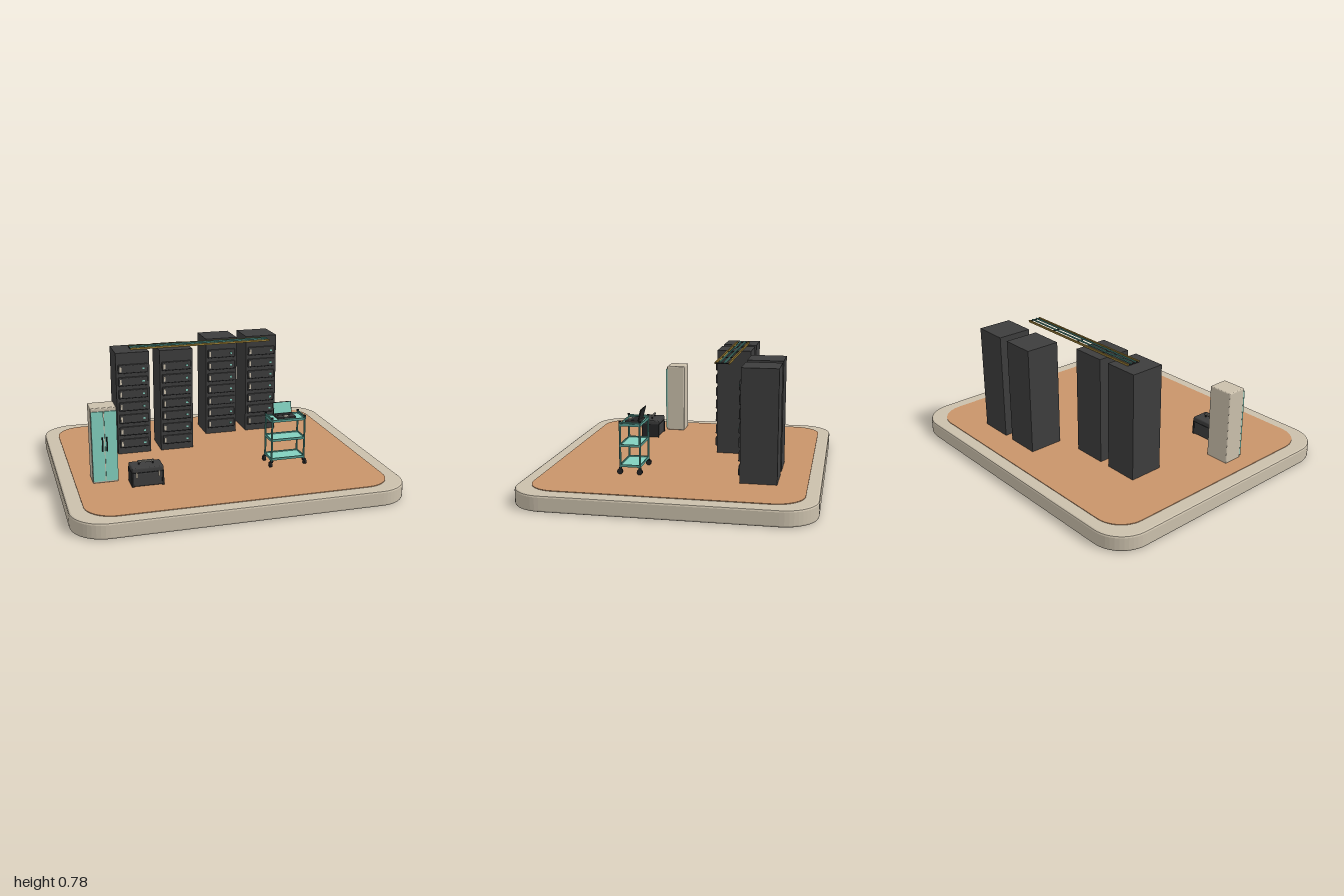
import * as THREE from 'three';
import { RoundedBoxGeometry } from 'three/addons/geometries/RoundedBoxGeometry.js';

const paint = (name, color) => {
  const m = new THREE.MeshStandardMaterial({ color, flatShading: true });
  m.name = name;
  return m;
};

export function createModel() {
  const mat = {
    beige: paint('warm beige', 0xcbc0ac),
    floor: paint('terracotta floor', 0xc8946a),
    dark: paint('charcoal', 0x3d3d3d),
    black: paint('near black', 0x242526),
    teal: paint('mint teal', 0x82d0bf),
    frame: paint('deep teal', 0x579f93),
    brass: paint('brass', 0x9a7d35),
    grey: paint('handle grey', 0x77756f),
  };
  const model = new THREE.Group();
  model.name = 'serverRoom';

  const group = (name, x = 0, y = 0, z = 0) => {
    const g = new THREE.Group();
    g.name = name;
    g.position.set(x, y, z);
    model.add(g);
    return g;
  };
  const add = (parent, name, geo, m, x, y, z) => {
    const mesh = new THREE.Mesh(geo, m);
    mesh.name = name;
    mesh.position.set(x, y, z);
    parent.add(mesh);
    return mesh;
  };
  const box = (p, name, m, w, h, d, x, y, z) =>
    add(p, name, new THREE.BoxGeometry(w, h, d), m, x, y, z);
  const soft = (p, name, m, w, h, d, x, y, z, r) =>
    add(p, name, new RoundedBoxGeometry(w, h, d, 2, r), m, x, y, z);

  // Horizontal slab with rounded corners, y0 to y1
  const slab = (name, m, w, d, r, y0, y1, bevel) => {
    const s = new THREE.Shape();
    const a = w / 2 - bevel, b = d / 2 - bevel, q = r - bevel;
    s.absarc(a - q, b - q, q, 0, Math.PI / 2);
    s.absarc(-a + q, b - q, q, Math.PI / 2, Math.PI);
    s.absarc(-a + q, -b + q, q, Math.PI, Math.PI * 1.5);
    s.absarc(a - q, -b + q, q, Math.PI * 1.5, Math.PI * 2);
    const geo = new THREE.ExtrudeGeometry(s, {
      depth: y1 - y0 - 2 * bevel, curveSegments: 6, bevelEnabled: bevel > 0,
      bevelSize: bevel, bevelThickness: bevel, bevelSegments: 2,
    });
    geo.rotateX(-Math.PI / 2);
    add(model, name, geo, m, 0, y0 + bevel, 0);
  };

  // Base and floor
  slab('base', mat.beige, 2, 1.72, 0.2, 0, 0.097, 0.012);
  slab('floor', mat.floor, 1.824, 1.564, 0.17, 0.09, 0.101, 0);

  // Server racks with seven units each
  for (const [x, z] of [[-0.47, -0.266], [-0.187, -0.266], [0.183, -0.502], [0.467, -0.502]]) {
    const rack = group('serverRack', x, 0.1, z);
    box(rack, 'rackCabinet', mat.dark, 0.215, 0.67, 0.215, 0, 0.335, 0);
    for (let i = 0; i < 7; i++) {
      const y = 0.071 + i * 0.0825;
      soft(rack, 'serverUnit', mat.dark, 0.19, 0.058, 0.016, 0, y, 0.11, 0.005);
      box(rack, 'ventSlot', mat.black, 0.182, 0.004, 0.002, 0, y - 0.024, 0.1182);
      box(rack, 'unitHandle', mat.beige, 0.011, 0.032, 0.005, -0.08, y, 0.119);
      box(rack, 'statusLight', mat.teal, 0.014, 0.011, 0.004, 0.067, y, 0.1185);
    }
  }

  // Overhead cable tray
  const tray = group('cableTray', 0, 0.775, -0.273);
  for (const s of [-1, 1]) {
    box(tray, 'trayRail', mat.brass, 0.935, 0.012, 0.009, 0, 0, s * 0.039);
    box(tray, 'cable', mat.frame, 0.93, 0.007, 0.008, 0, 0.005, s * 0.015);
  }
  for (let i = -2; i <= 2; i++)
    box(tray, 'trayRung', mat.black, 0.008, 0.006, 0.078, i * 0.232, -0.001, 0);

  // Storage cabinet
  const cabinet = group('storageCabinet', -0.733, 0.1, 0.234);
  soft(cabinet, 'cabinetBody', mat.beige, 0.154, 0.465, 0.126, 0, 0.2325, 0, 0.008);
  for (const s of [-1, 1]) {
    box(cabinet, 'cabinetDoor', mat.teal, 0.072, 0.43, 0.009, s * 0.0385, 0.229, 0.066);
    box(cabinet, 'doorHandle', mat.black, 0.007, 0.085, 0.012, s * 0.013, 0.245, 0.076);
  }

  // Tool case
  const tool = group('toolCase', -0.503, 0.1, 0.363);
  soft(tool, 'caseBody', mat.dark, 0.188, 0.088, 0.116, 0, 0.046, 0, 0.01);
  soft(tool, 'caseLid', mat.dark, 0.192, 0.034, 0.12, 0, 0.104, 0, 0.01);
  box(tool, 'caseSeam', mat.black, 0.19, 0.005, 0.118, 0, 0.088, 0);
  for (const s of [-1, 1]) {
    box(tool, 'caseEdge', mat.black, 0.012, 0.09, 0.12, s * 0.09, 0.047, 0);
    box(tool, 'caseLatch', mat.beige, 0.01, 0.032, 0.01, s * 0.068, 0.077, 0.063);
    box(tool, 'handlePost', mat.black, 0.008, 0.02, 0.01, s * 0.042, 0.128, 0);
  }
  box(tool, 'caseHandle', mat.grey, 0.096, 0.01, 0.013, 0, 0.14, 0);

  // Service trolley
  const cart = group('serviceTrolley', 0.403, 0.1, 0.267);
  for (const y of [0.047, 0.17, 0.294]) {
    box(cart, 'shelf', mat.teal, 0.218, 0.008, 0.122, 0, y, 0);
    for (const s of [-1, 1]) {
      box(cart, 'shelfRim', mat.frame, 0.222, 0.015, 0.006, 0, y + 0.004, s * 0.061);
      box(cart, 'shelfRim', mat.frame, 0.006, 0.015, 0.122, s * 0.109, y + 0.004, 0);
    }
  }
  for (const sx of [-1, 1]) {
    const bar = add(cart, 'pushBar', new THREE.CylinderGeometry(0.006, 0.006, 0.122, 8), mat.frame,
      sx * 0.108, 0.311, 0);
    bar.rotation.x = Math.PI / 2;
    for (const sz of [-1, 1]) {
      const x = sx * 0.106, z = sz * 0.06;
      add(cart, 'post', new THREE.CylinderGeometry(0.0065, 0.0065, 0.285, 8), mat.frame, x, 0.175, z);
      add(cart, 'postCap', new THREE.CylinderGeometry(0.008, 0.008, 0.008, 8), mat.black, x, 0.318, z);
      const wheel = add(cart, 'wheel', new THREE.CylinderGeometry(0.0175, 0.0175, 0.014, 12), mat.black,
        sx * 0.113, 0.0185, z);
      wheel.rotation.z = Math.PI / 2;
      box(cart, 'wheelFork', mat.black, 0.018, 0.012, 0.014, x, 0.035, z);
    }
  }

  // Laptop on the trolley
  const laptop = group('laptop', 0.398, 0.4, 0.262);
  soft(laptop, 'laptopBase', mat.dark, 0.122, 0.012, 0.092, 0, 0.008, 0, 0.003);
  box(laptop, 'keyboard', mat.black, 0.104, 0.002, 0.04, 0, 0.0145, -0.008);
  box(laptop, 'trackpad', mat.beige, 0.03, 0.002, 0.02, 0, 0.0145, 0.031);
  const lid = new THREE.Group();
  lid.name = 'laptopLid';
  lid.position.set(0, 0.012, -0.033);
  lid.rotation.x = -0.25;
  laptop.add(lid);
  soft(lid, 'screenFrame', mat.black, 0.122, 0.076, 0.007, 0, 0.036, 0, 0.003);
  box(lid, 'screen', mat.teal, 0.113, 0.066, 0.002, 0, 0.037, 0.004);

  return model;
}
